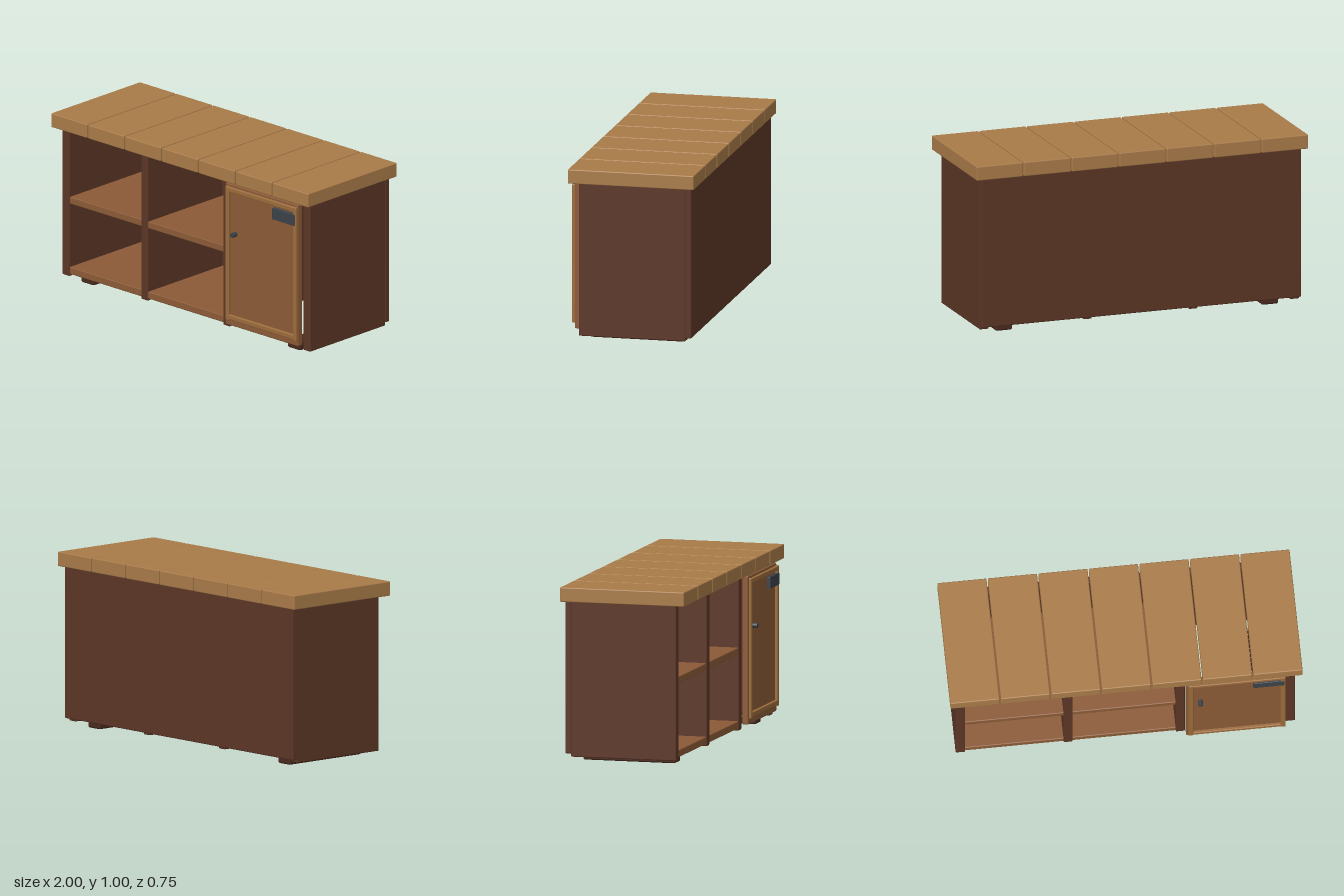
import * as THREE from 'three';
import { RoundedBoxGeometry } from 'three/addons/geometries/RoundedBoxGeometry.js';

const mat = (color) => new THREE.MeshStandardMaterial({ color });

export function createModel() {
  const model = new THREE.Group();
  model.name = 'counter';
  const plankWood = mat(0xa97b49), darkWood = mat(0x5c3626), shelfWood = mat(0x8b5a36);
  const trimWood = mat(0x9c6c3c), footWood = mat(0x4a2a1e), metal = mat(0x3b4247);

  // Softly bevelled board given by its min and max along each axis
  const board = (name, material, [x0, x1], [y0, y1], [z0, z1], bevel = 0.006, parent = model) => {
    const mesh = new THREE.Mesh(new RoundedBoxGeometry(x1 - x0, y1 - y0, z1 - z0, 2, bevel), material);
    mesh.position.set((x0 + x1) / 2, (y0 + y1) / 2, (z0 + z1) / 2);
    mesh.name = name;
    parent.add(mesh);
    return mesh;
  };

  // Worktop of seven planks with narrow gaps
  const worktop = new THREE.Group();
  worktop.name = 'worktop';
  model.add(worktop);
  const pitch = 2.008 / 7;
  for (let i = 0; i < 7; i++) {
    const x = -1 + i * pitch;
    board('plank', plankWood, [x, x + pitch - 0.008], [0.917, 1], [-0.372, 0.36], 0.006, worktop);
  }

  // Upright panels and back
  const depth = [-0.316, 0.304];
  for (const x of [[-0.965, -0.91], [0.908, 0.963]]) board('sidePanel', darkWood, x, [0.03, 0.92], depth);
  for (const x of [[-0.352, -0.3], [0.285, 0.337]]) board('divider', darkWood, x, [0.03, 0.92], depth);
  board('backPanel', darkWood, [-0.965, 0.963], [0.048, 0.92], [-0.35, -0.314]);

  // Bottoms and middle shelves of the two open bays
  for (const x of [[-0.914, -0.348], [-0.304, 0.289]]) {
    board('bottomShelf', shelfWood, x, [0.042, 0.085], [-0.316, 0.3]);
    board('middleShelf', shelfWood, x, [0.463, 0.505], [-0.316, 0.3]);
  }

  // Foot runners
  for (const x of [-0.805, 0.8]) board('foot', footWood, [x - 0.05, x + 0.05], [0, 0.05], [-0.277, 0.267], 0.01);

  // Door with a raised rim, latch plate and knob
  const door = new THREE.Group();
  door.name = 'door';
  model.add(door);
  board('doorPanel', shelfWood, [0.34, 0.905], [0.058, 0.905], [0.306, 0.342], 0.006, door);
  const rimZ = [0.338, 0.358];
  for (const x of [[0.352, 0.38], [0.876, 0.904]]) board('doorTrim', trimWood, x, [0.09, 0.892], rimZ, 0.005, door);
  for (const y of [[0.098, 0.126], [0.862, 0.89]]) board('doorTrim', trimWood, [0.375, 0.88], y, rimZ, 0.005, door);
  board('latchPlate', metal, [0.72, 0.898], [0.782, 0.85], [0.338, 0.361], 0.003, door);

  const knob = new THREE.Mesh(new THREE.CylinderGeometry(0.014, 0.014, 0.035, 16), metal);
  knob.rotation.x = Math.PI / 2;
  knob.position.set(0.42, 0.615, 0.3575);
  knob.name = 'knob';
  door.add(knob);

  return model;
}
